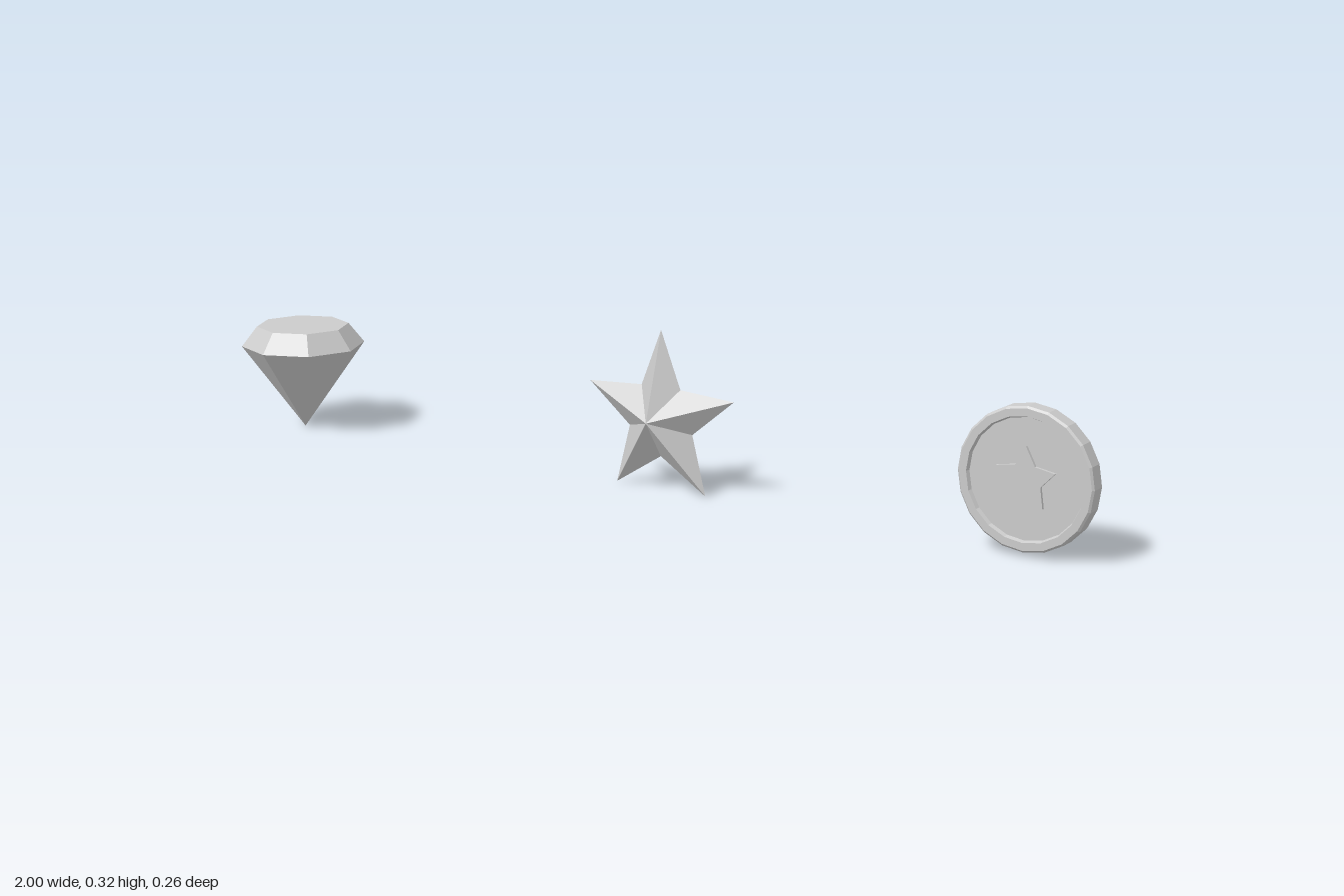
import * as THREE from 'three';

const material = new THREE.MeshStandardMaterial({ color: 0xcccccc, flatShading: true });

function addMesh(parent, name, geometry, x, y, z) {
  const mesh = new THREE.Mesh(geometry, material);
  mesh.name = name;
  mesh.position.set(x, y, z);
  parent.add(mesh);
  return mesh;
}

// Solid of revolution from [radius, height] pairs, listed bottom to top
function lathe(points, sides) {
  return new THREE.LatheGeometry(points.map(([r, y]) => new THREE.Vector2(r, y)), sides);
}

// Ten corners of an upright five-pointed star, anticlockwise
function starCorners(outer, inner) {
  return Array.from({ length: 10 }, (_, i) => {
    const r = i % 2 ? inner : outer;
    const a = Math.PI / 2 + (i * Math.PI) / 5;
    return new THREE.Vector2(r * Math.cos(a), r * Math.sin(a));
  });
}

// Faceted star: thin at its outline, rising to a peak at the front and back
function facetedStar(outer, inner, depth) {
  const corners = starCorners(outer, inner);
  const positions = [];
  corners.forEach((a, i) => {
    const b = corners[(i + 1) % corners.length];
    positions.push(0, 0, depth, a.x, a.y, 0, b.x, b.y, 0);
    positions.push(0, 0, -depth, b.x, b.y, 0, a.x, a.y, 0);
  });
  const geometry = new THREE.BufferGeometry();
  geometry.setAttribute('position', new THREE.Float32BufferAttribute(positions, 3));
  geometry.computeVertexNormals();
  return geometry;
}

export function createModel() {
  const model = new THREE.Group();
  model.name = 'collectibles';

  // Eight-sided cut gem
  const gem = lathe([[0, 0.002], [0.131, 0.183], [0.098, 0.225], [0, 0.225]], 8);
  addMesh(model, 'gem', gem, -0.869, 0, 0);

  // Star
  addMesh(model, 'star', facetedStar(0.179, 0.078, 0.054), 0.052, 0.148, 0);

  // Coin with a chamfered rim and a sunken face on both sides
  const coin = new THREE.Group();
  coin.name = 'coin';
  coin.position.set(0.861, 0.149, 0);
  model.add(coin);
  const half = [[0, 0.011], [0.117, 0.011], [0.12, 0.019], [0.135, 0.019], [0.139, 0.015]];
  const profile = [...half.map(([r, y]) => [r, -y]), ...half.slice().reverse()];
  addMesh(coin, 'coinBody', lathe(profile, 20), 0, 0, 0).rotation.x = Math.PI / 2;

  // Raised star on the front of the coin
  const emblem = new THREE.ExtrudeGeometry(new THREE.Shape(starCorners(0.063, 0.033)), {
    depth: 0.007, bevelEnabled: false,
  });
  addMesh(coin, 'coinStar', emblem, 0, 0, 0.01);

  return model;
}
